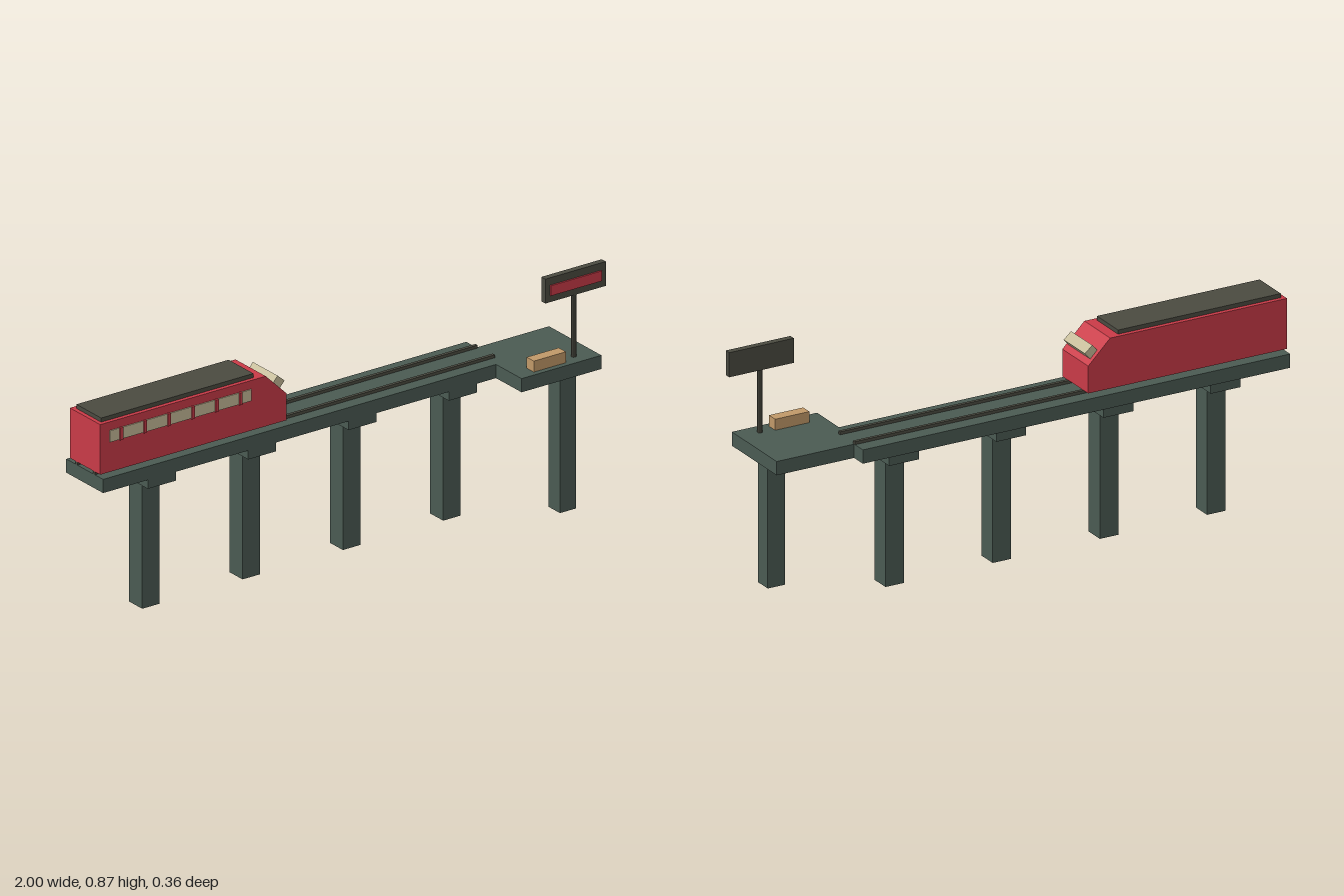
import * as THREE from 'three';

const mat = (color) => new THREE.MeshStandardMaterial({ color, flatShading: true });

export function createModel() {
  const model = new THREE.Group();
  const concrete = mat(0x4a5a52), dark = mat(0x4a4a40), red = mat(0xc93a47);
  const glass = mat(0xc5bb98), wood = mat(0xc09868);

  const add = (parent, name, geometry, material) => {
    const mesh = new THREE.Mesh(geometry, material);
    mesh.name = name;
    parent.add(mesh);
    return mesh;
  };
  // box given by its [min, max] range on each axis
  const box = (parent, name, material, [x0, x1], [y0, y1], [z0, z1]) => {
    const mesh = add(parent, name, new THREE.BoxGeometry(x1 - x0, y1 - y0, z1 - z0), material);
    mesh.position.set((x0 + x1) / 2, (y0 + y1) / 2, (z0 + z1) / 2);
    return mesh;
  };
  const group = (name) => {
    const g = new THREE.Group();
    g.name = name;
    model.add(g);
    return g;
  };

  // viaduct: deck, pillars with caps, two rails
  const viaduct = group('viaduct');
  box(viaduct, 'deck', concrete, [-1, 0.655], [0.5, 0.55], [-0.178, 0.032]);
  for (let i = 0; i < 4; i++) {
    const x = -0.755 + i * 0.415;
    box(viaduct, 'pillar', concrete, [x - 0.036, x + 0.036], [0, 0.466], [-0.107, -0.033]);
    box(viaduct, 'pillarCap', concrete, [x - 0.058, x + 0.058], [0.466, 0.5], [-0.169, 0.029]);
  }
  for (const z of [-0.021, -0.12]) {
    box(viaduct, 'rail', dark, [-1, 0.655], [0.55, 0.561], [z - 0.006, z + 0.006]);
  }

  // station platform with its pillar and bench
  const station = group('station');
  box(station, 'platform', concrete, [0.625, 0.955], [0.5, 0.55], [-0.12, 0.178]);
  box(station, 'platformPillar', concrete, [0.807, 0.873], [0, 0.5], [0.08, 0.146]);
  box(station, 'bench', wood, [0.69, 0.823], [0.55, 0.59], [0.117, 0.158]);

  // sign on a pole
  const sign = group('sign');
  const pole = add(sign, 'signPole', new THREE.CylinderGeometry(0.009, 0.009, 0.24, 8), dark);
  pole.position.set(0.875, 0.67, 0.13);
  box(sign, 'signBoard', dark, [0.75, 1], [0.779, 0.868], [0.118, 0.141]);
  box(sign, 'signPanel', red, [0.769, 0.981], [0.804, 0.841], [0.14, 0.147]);

  // train body: side profile extruded across the track
  const train = group('train');
  const profile = new THREE.Shape([
    [-1, 0.561], [-0.23, 0.561], [-0.23, 0.66], [-0.315, 0.744], [-1, 0.744],
  ].map(([x, y]) => new THREE.Vector2(x, y)));
  const body = new THREE.ExtrudeGeometry(profile, { depth: 0.172, bevelEnabled: false });
  add(train, 'trainBody', body, red).position.z = -0.157;
  box(train, 'trainRoof', dark, [-0.985, -0.355], [0.744, 0.759], [-0.141, 0]);

  // windscreen block standing out of the sloped nose
  const windscreen = add(train, 'windscreen', new THREE.BoxGeometry(0.08, 0.038, 0.141), glass);
  windscreen.position.set(-0.267, 0.6825, -0.0705);
  windscreen.rotation.z = 0.85;

  // window band on the platform side, split by dividers
  box(train, 'windowBand', glass, [-0.962, -0.376], [0.671, 0.713], [0.01, 0.019]);
  for (let i = 0; i < 6; i++) {
    const x = -0.916 + i * 0.0988;
    box(train, 'windowDivider', red, [x - 0.006, x + 0.006], [0.669, 0.714], [0.01, 0.023]);
  }

  return model;
}
